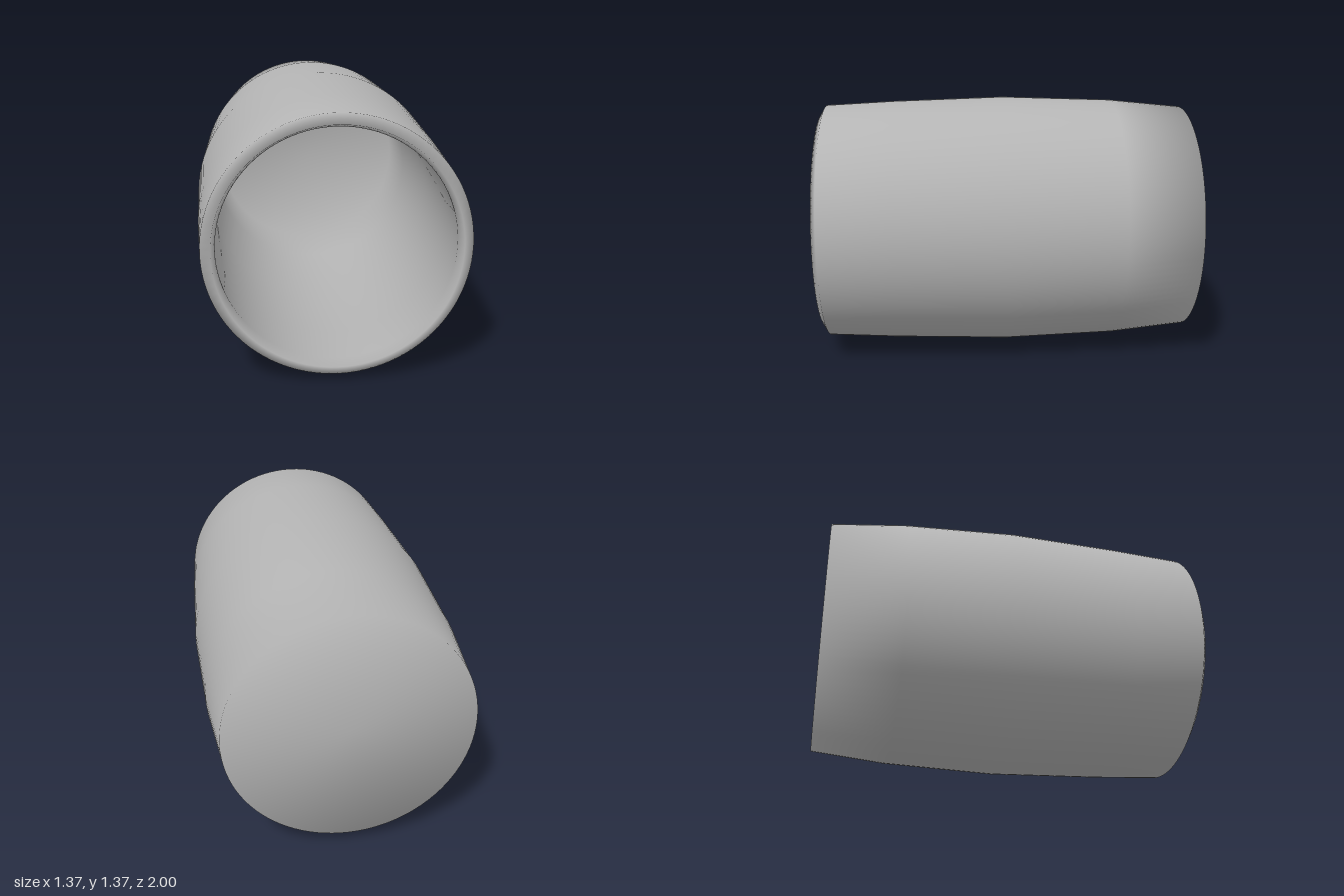
import * as THREE from 'three';

export function createModel() {
  const group = new THREE.Group();
  group.name = 'tumbler';

  const grey = new THREE.MeshStandardMaterial({ color: 0xb4b4b4 });
  grey.name = 'grey';

  // Closed cup profile (radius, position along z): base, bulging wall, lip, hollow inside
  const profile = [
    [0, -1], [0.625, -1],                                   // base
    [0.665, -0.6], [0.685, 0], [0.665, 0.6], [0.645, 0.97], // outer wall
    [0.595, 1], [0.575, 0.94],                              // lip
    [0.6, 0.6], [0.615, 0], [0.6, -0.6], [0.565, -0.9],     // inner wall
    [0, -0.9],                                              // inner floor
  ].map(([r, z]) => new THREE.Vector2(r, z));

  const geometry = new THREE.LatheGeometry(profile, 96);
  geometry.rotateX(Math.PI / 2); // mouth faces +z
  geometry.translate(0, 0.685, 0);

  const shell = new THREE.Mesh(geometry, grey);
  shell.name = 'cupShell';
  group.add(shell);
  return group;
}
